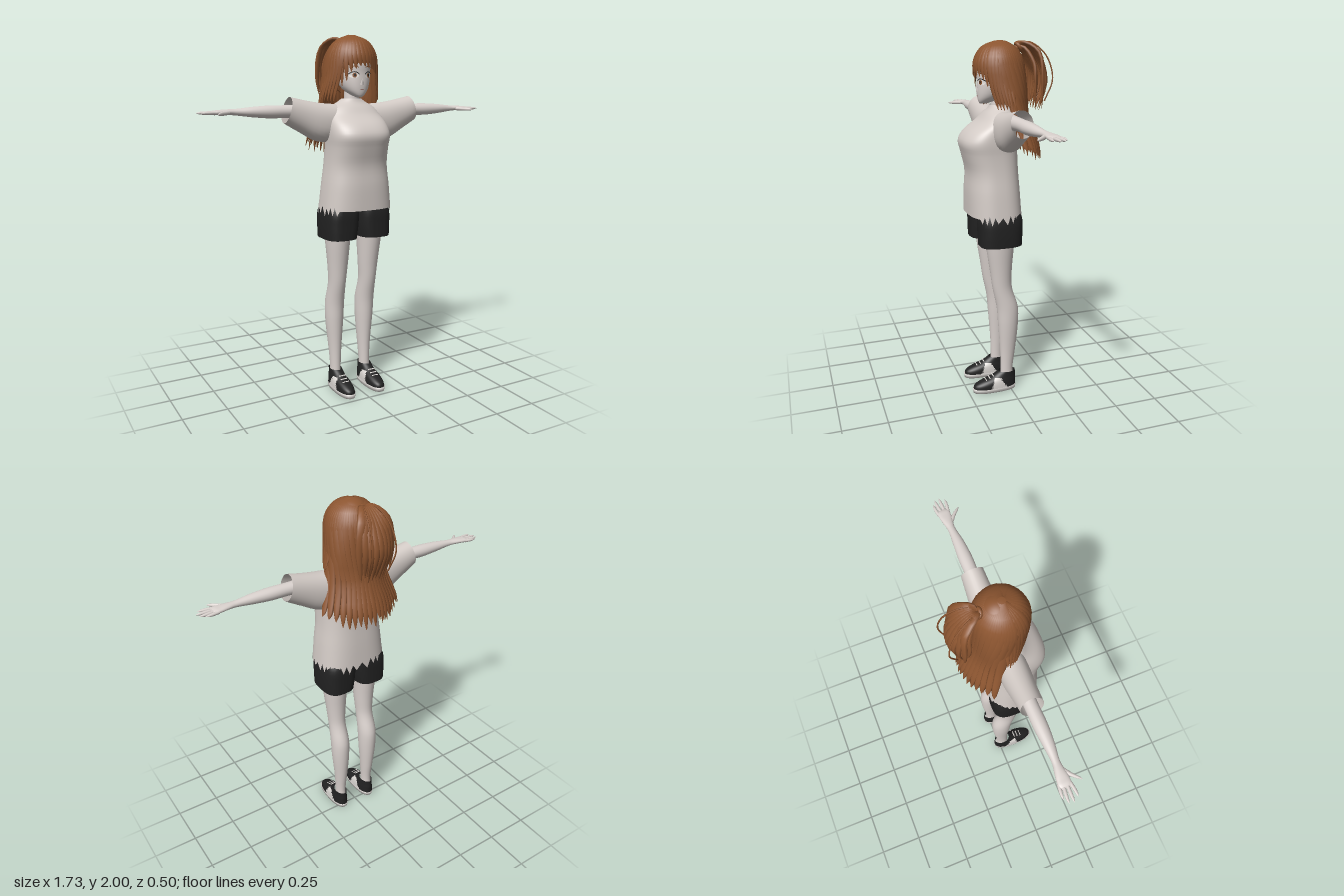
import * as THREE from 'three';

const V = (x, y, z) => new THREE.Vector3(x, y, z);
const paint = (name, hex) => Object.assign(new THREE.MeshStandardMaterial({ color: hex }), { name });

// closed rings of points joined into a smooth skin
function skin(rings, flip) {
  const n = rings[0].length, index = [];
  for (let i = 0; i < rings.length - 1; i++) for (let j = 0; j < n; j++) {
    const a = i * n + j, b = i * n + (j + 1) % n, c = a + n, d = b + n;
    index.push(...(flip ? [a, c, b, b, c, d] : [a, b, c, b, d, c]));
  }
  const g = new THREE.BufferGeometry().setFromPoints(rings.flat());
  g.setIndex(index);
  g.computeVertexNormals();
  return g;
}

// sections: [t, centreU, centreV, radiusU, radiusV, squareness]; axis y: (u,t,v), axis x: (t,u,v)
const blend = (s) => new THREE.CubicInterpolant(s.map((r) => r[0]), s.flat(), s[0].length);
function loft(s, axis = 'y', n = 24, steps = 4) {
  const f = blend(s), rings = [];
  const pw = (v, e) => Math.sign(v) * Math.abs(v) ** (2 / e);
  for (let i = 0; i <= (s.length - 1) * steps; i++) {
    const k = Math.min(Math.floor(i / steps), s.length - 2);
    const t = THREE.MathUtils.lerp(s[k][0], s[k + 1][0], i / steps - k);
    const [, cu, cv, ru, rv, e] = [...f.evaluate(t)];
    rings.push(Array.from({ length: n }, (_, j) => {
      const a = j / n * Math.PI * 2, u = cu + ru * pw(Math.cos(a), e), v = cv + rv * pw(Math.sin(a), e);
      return axis === 'y' ? V(u, t, v) : V(t, u, v);
    }));
  }
  return skin(rings, axis === 'y');
}
// centred section from front and back depth
const fb = ([y, rx, zf, zb, e = 2]) => [y, 0, (zf + zb) / 2, rx, (zf - zb) / 2, e];

function mirrored(geo) {
  const g = geo.clone().scale(-1, 1, 1), ix = g.index.array;
  for (let i = 0; i < ix.length; i += 3) [ix[i], ix[i + 1]] = [ix[i + 1], ix[i]];
  g.computeVertexNormals();
  return g;
}

// tapered hair lock with an elliptical section lying flat on the head
function lock(pts, w, t) {
  const curve = new THREE.CatmullRomCurve3(pts), rings = [];
  for (let i = 0; i <= 14; i++) {
    const s = i / 14, p = curve.getPoint(s), T = curve.getTangent(s);
    const out = p.clone().sub(V(0, Math.min(p.y, 1.85), 0.03));
    out.addScaledVector(T, -out.dot(T)).normalize();
    const side = T.clone().cross(out), k = Math.max(0.01, Math.sin(Math.PI * (0.15 + 0.85 * s))) ** 0.6 / 2;
    rings.push(Array.from({ length: 8 }, (_, j) => {
      const a = j / 8 * Math.PI * 2;
      return p.clone().addScaledVector(side, Math.cos(a) * w * k).addScaledVector(out, Math.sin(a) * t * k);
    }));
  }
  return skin(rings, true);
}

// keep only the triangles whose centre passes the test
function pick(geo, test) {
  const g = geo.clone(), ix = geo.index.array, p = geo.attributes.position, keep = [];
  for (let i = 0; i < ix.length; i += 3) {
    const c = V(0, 0, 0), tri = [ix[i], ix[i + 1], ix[i + 2]];
    tri.forEach((k) => c.add(V(p.getX(k), p.getY(k), p.getZ(k)).divideScalar(3)));
    if (test(c)) keep.push(...tri);
  }
  g.setIndex(keep);
  return g;
}

export function createModel() {
  const root = new THREE.Group();
  const M = {
    skin: paint('skin', 0xd9d1cd), shirt: paint('shirt cloth', 0xd3cbc6), hair: paint('brown hair', 0x8c5530),
    black: paint('black cloth', 0x222222), white: paint('shoe white', 0xdad6d2),
    eye: paint('eye white', 0xf0ece8), lip: paint('lip', 0xa9847c),
  };
  M.shirt.side = M.black.side = THREE.DoubleSide;
  const add = (name, geo, mat) => {
    const m = new THREE.Mesh(geo, mat);
    m.name = name;
    root.add(m);
  };
  const pair = (name, geo, mat) => {
    add(name + 'Left', geo, mat);
    add(name + 'Right', mirrored(geo), mat);
  };
  let seed = 7;
  const rnd = () => (seed = (seed * 16807) % 2147483647) / 2147483647;

  // legs, arms and hands
  pair('leg', loft([[0.07, 0.097, 0.017, 0.031, 0.038, 2], [0.13, 0.096, 0.018, 0.03, 0.036, 2],
    [0.25, 0.096, 0.012, 0.037, 0.045, 2], [0.42, 0.098, 0.01, 0.051, 0.059, 2], [0.52, 0.098, 0.015, 0.053, 0.062, 2],
    [0.64, 0.098, 0.045, 0.049, 0.056, 2], [0.74, 0.098, 0.053, 0.056, 0.062, 2],
    [0.88, 0.1, 0.058, 0.068, 0.078, 2], [1.0, 0.1, 0.06, 0.078, 0.09, 2]]), M.skin);
  pair('arm', loft([[0.18, 1.595, 0.035, 0.042, 0.042, 2], [0.38, 1.6, 0.035, 0.033, 0.035, 2],
    [0.48, 1.6, 0.036, 0.033, 0.036, 2], [0.58, 1.601, 0.036, 0.026, 0.029, 2], [0.67, 1.602, 0.032, 0.016, 0.02, 2],
    [0.71, 1.603, 0.03, 0.014, 0.026, 2], [0.75, 1.602, 0.029, 0.012, 0.032, 2.4],
    [0.785, 1.6, 0.028, 0.009, 0.03, 2.4], [0.795, 1.6, 0.028, 0.001, 0.02, 2]], 'x'), M.skin);
  [[0.001, 0.838, -0.005], [0.02, 0.862, 0.012], [0.037, 0.867, 0.036], [0.053, 0.85, 0.062]].forEach(([z, x1, z1]) =>
    pair('finger', loft([[0.765, 1.6, z, 0.008, 0.0085, 2], [x1 - 0.02, 1.6, z1, 0.0065, 0.007, 2],
      [x1, 1.6, z1, 0.001, 0.001, 2]], 'x', 10, 3), M.skin));
  pair('thumb', loft([[0.7, 1.6, 0.04, 0.01, 0.015, 2], [0.74, 1.597, 0.07, 0.01, 0.013, 2],
    [0.77, 1.595, 0.1, 0.007, 0.009, 2], [0.783, 1.594, 0.113, 0.001, 0.002, 2]], 'x', 10, 3), M.skin);

  // shirt: body with a ragged hem at the sides and back
  const body = loft([[1.07, 0.2, 0.22, -0.075, 2.7], [1.2, 0.187, 0.22, -0.068, 2.6], [1.31, 0.173, 0.216, -0.06, 2.6],
    [1.41, 0.168, 0.238, -0.055, 2.7], [1.475, 0.17, 0.249, -0.05, 2.8], [1.53, 0.166, 0.215, -0.048, 2.6],
    [1.58, 0.155, 0.15, -0.045, 2.4], [1.62, 0.13, 0.115, -0.038, 2.2], [1.645, 0.085, 0.092, -0.025, 2],
    [1.665, 0.055, 0.08, -0.012, 2]].map(fb), 'y', 64);
  const bp = body.attributes.position;
  for (let j = 0; j < 64; j++) if (bp.getZ(j) < 0.18) bp.setY(j, j % 2 ? 1.03 + 0.02 * rnd() : 1.08 + 0.015 * rnd());
  add('shirtBody', body, M.shirt);
  const sleeve = loft([[0.09, 1.535, 0.035, 0.1, 0.078, 2.2], [0.19, 1.54, 0.037, 0.102, 0.075, 2.2],
    [0.29, 1.573, 0.036, 0.084, 0.066, 2.1], [0.385, 1.607, 0.036, 0.068, 0.06, 2]], 'x', 32);
  const sp = sleeve.attributes.position;
  for (let i = 0; i < sp.count; i++) sp.setX(i, sp.getX(i) - (sp.getY(i) - 1.607) * 0.26 * sp.getX(i) / 0.385);
  sleeve.computeVertexNormals();
  pair('sleeve', sleeve, M.shirt);

  // shorts
  pair('shortsLeg', loft([[0.905, 0.104, 0.06, 0.091, 0.119, 3], [0.98, 0.1, 0.06, 0.098, 0.121, 3],
    [1.06, 0.096, 0.06, 0.097, 0.12, 3], [1.12, 0.085, 0.06, 0.086, 0.1, 2.6]], 'y', 32), M.black);

  // shoes: pale sole, dark upper with a pale side panel and laces
  pair('sole', loft([[0, 0.097, 0.095, 0.001, 0.001, 2.5], [0.001, 0.097, 0.095, 0.046, 0.128, 2.5],
    [0.024, 0.097, 0.095, 0.05, 0.131, 2.5], [0.026, 0.097, 0.095, 0.04, 0.11, 2.5]], 'y', 32, 1), M.white);
  const upper = loft([[0.02, 0.097, 0.094, 0.048, 0.128, 2.4], [0.045, 0.097, 0.09, 0.047, 0.123, 2.3],
    [0.065, 0.097, 0.071, 0.044, 0.105, 2.2], [0.085, 0.097, 0.043, 0.038, 0.076, 2.1],
    [0.115, 0.097, 0.018, 0.034, 0.05, 2]], 'y', 56, 5);
  const panel = (c) => Math.abs(c.x - 0.097) > 0.02 && c.y < 0.085 && c.z > 0.015 + c.y * 0.6 && c.z < 0.135 - c.y * 0.4;
  pair('shoeUpper', pick(upper, (c) => !panel(c)), M.black);
  pair('shoePanel', pick(upper, panel), M.white);
  [[0.105, 0.094], [0.126, 0.082], [0.148, 0.073]].forEach(([z, y]) =>
    pair('lace', new THREE.BoxGeometry(0.04, 0.004, 0.006).rotateX(0.5).translate(0.097, y, z), M.white));

  // head, neck and nose
  const headSections = [[1.672, 0.012, 0.138, 0.1], [1.685, 0.034, 0.145, 0.06], [1.71, 0.06, 0.15, 0.01],
    [1.75, 0.08, 0.152, -0.04], [1.8, 0.09, 0.15, -0.07], [1.86, 0.095, 0.15, -0.08],
    [1.92, 0.08, 0.12, -0.06], [1.96, 0.04, 0.07, -0.02]].map((r) => fb([...r, 2.2]));
  add('head', loft(headSections, 'y', 40), M.skin);
  add('neck', new THREE.CylinderGeometry(0.036, 0.046, 0.15, 24).translate(0, 1.665, 0.035), M.skin);
  add('nose', new THREE.ConeGeometry(0.01, 0.04, 8).rotateX(0.35).translate(0, 1.757, 0.155), M.skin);

  // painted face details that follow the curve of the face
  const faceAt = blend(headSections);
  const onFace = (geo, x, y, lift) => {
    const g = geo.translate(x, y, 0), p = g.attributes.position;
    for (let i = 0; i < p.count; i++) {
      const [, , cz, rx, rz, e] = faceAt.evaluate(p.getY(i));
      p.setZ(i, cz + rz * (1 - Math.min(1, Math.abs(p.getX(i) / rx)) ** e) ** (1 / e) + lift);
    }
    g.computeVertexNormals();
    return g;
  };
  const disc = (rx, ry) => new THREE.CircleGeometry(1, 24).scale(rx, ry, 1);
  const arc = (w, h, thick) => new THREE.PlaneGeometry(w, thick, 10, 1).translate(0, 0, 0).applyMatrix4(new THREE.Matrix4());
  const bow = (w, h, thick) => {
    const g = arc(w, h, thick), p = g.attributes.position;
    for (let i = 0; i < p.count; i++) p.setY(i, p.getY(i) + h * (1 - (2 * p.getX(i) / w) ** 2));
    return g;
  };
  pair('eyeWhite', onFace(disc(0.023, 0.015), 0.042, 1.787, 0.003), M.eye);
  pair('iris', onFace(disc(0.01, 0.013), 0.041, 1.787, 0.005), M.hair);
  pair('pupil', onFace(disc(0.005, 0.007), 0.041, 1.788, 0.007), M.black);
  pair('eyelash', onFace(bow(0.052, 0.012, 0.005), 0.043, 1.793, 0.006), M.black);
  pair('eyebrow', onFace(bow(0.045, 0.006, 0.004), 0.043, 1.828, 0.004), M.hair);
  add('mouth', onFace(bow(0.026, -0.002, 0.004), 0, 1.715, 0.003), M.lip);

  // hair cap, and locks that follow it before hanging free
  add('hairCap', new THREE.SphereGeometry(1, 40, 16, 0, Math.PI * 2, 0, Math.PI * 0.5)
    .scale(0.133, 0.145, 0.133).translate(0, 1.85, 0.035), M.hair);
  add('hairBackCap', new THREE.SphereGeometry(1, 32, 24, 0, Math.PI, 0, Math.PI * 0.85)
    .rotateY(Math.PI).scale(0.125, 0.16, 0.125).translate(0, 1.84, 0.02), M.hair);
  const onCap = (phi, th) => V(0.134 * Math.sin(th) * Math.sin(phi), 1.85 + 0.146 * Math.cos(th), 0.035 + 0.134 * Math.sin(th) * Math.cos(phi));
  const rooted = (phi, ...rest) => [onCap(phi, 0.12), onCap(phi, 0.7), onCap(phi, 1.25), ...rest];

  // swept fringe
  for (let i = -5; i <= 5; i++) {
    const phi = i * 0.18, end = phi * 1.08 + 0.08, y = 1.845 - 0.11 * (phi / 0.9) ** 2 - 0.02 * rnd();
    add('fringeLock', lock(rooted(phi, V(0.132 * Math.sin(end), y, 0.035 + 0.134 * Math.cos(end))), 0.042, 0.014), M.hair);
  }
  // side locks framing the face
  for (let i = 0; i < 7; i++) {
    const phi = 0.92 + i * 0.14, s = Math.sin(phi), c = Math.cos(phi);
    pair('sideLock', lock(rooted(phi, V(0.147 * s, 1.78, 0.03 + 0.12 * c),
      V((0.15 + 0.02 * i / 6) * s + 0.012, 1.64 + 0.03 * rnd(), 0.015 + 0.1 * c)), 0.045, 0.018), M.hair);
  }
  // long back hair in two layers
  for (const layer of [0, 1]) for (let i = 0; i < 17; i++) {
    const u = (i - 8 + layer * 0.5) / 8, phi = Math.PI - u * 1.65, k = 1 - layer * 0.12;
    add('backLock', lock(rooted(phi, V(0.148 * Math.sin(u * 1.5), 1.75, -0.105 * k + 0.1 * u * u),
      V(0.165 * u, 1.6, -0.125 * k + 0.085 * u * u), V(0.205 * u, 1.47, -0.18 * k + 0.1 * u * u),
      V(0.22 * u, 1.35 + 0.06 * rnd() + 0.03 * u * u, -0.2 * k + 0.11 * u * u)), 0.056, 0.022), M.hair);
  }
  // ponytail arching from the crown
  for (const layer of [0, 1]) for (let i = -4; i <= 4; i++) {
    const u = i / 4 * (1 - layer * 0.25), d = layer * 0.055;
    add('ponytailLock', lock([V(0, 1.94, -0.06), V(0.025 * u, 1.985 - d * 0.4, -0.1), V(0.075 * u, 1.94 - d, -0.17 + d * 0.4),
      V(0.1 * u, 1.8, -0.235 + 0.05 * u * u + d), V(0.085 * u, 1.63 + 0.05 * rnd(), -0.185 + d * 0.5)], 0.046, 0.022), M.hair);
  }
  add('hairTie', new THREE.TorusGeometry(0.022, 0.01, 8, 20).rotateX(0.6).translate(0, 1.965, -0.08), M.hair);
  // loose looping strands
  pair('looseStrand', new THREE.TubeGeometry(new THREE.CatmullRomCurve3([V(0.01, 1.96, -0.07), V(0.03, 1.993, -0.12),
    V(0.06, 1.93, -0.21), V(0.075, 1.8, -0.25), V(0.06, 1.68, -0.21)]), 24, 0.004, 6), M.hair);
  return root;
}
